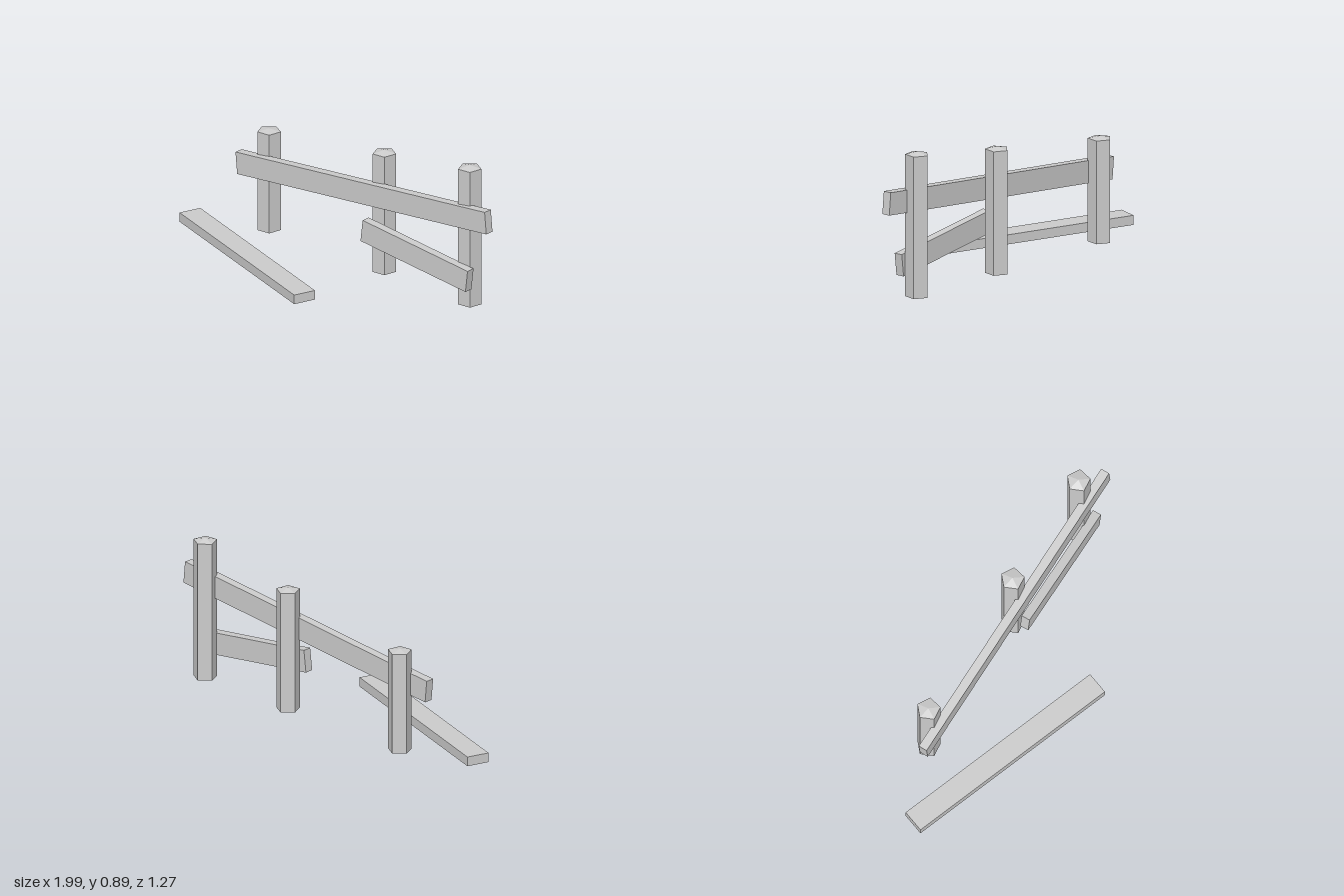
import * as THREE from 'three';

const material = new THREE.MeshStandardMaterial({ color: 0xcccccc, flatShading: true });
const rad = THREE.MathUtils.degToRad;

// Five-sided post with a shallow pointed cap
function makePost(name, x, z, bottom, shoulder, apex) {
  const post = new THREE.Group();
  post.name = name;
  const r = 0.072, turn = rad(7.5);

  const shaftHeight = shoulder - bottom;
  const shaft = new THREE.Mesh(
    new THREE.CylinderGeometry(r, r, shaftHeight, 5, 1, true, turn), material);
  shaft.name = 'shaft';
  shaft.position.y = bottom + shaftHeight / 2;

  const cap = new THREE.Mesh(
    new THREE.ConeGeometry(r, apex - shoulder, 5, 1, true, turn), material);
  cap.name = 'pointedCap';
  cap.position.y = (shoulder + apex) / 2;

  const foot = new THREE.Mesh(new THREE.CircleGeometry(r, 5, turn - Math.PI / 2), material);
  foot.name = 'foot';
  foot.rotation.x = Math.PI / 2;
  // the disc is turned so its corners meet the shaft's corners
  foot.geometry.rotateZ(Math.PI - 2 * turn);
  foot.position.y = bottom;

  post.add(shaft, cap, foot);
  post.position.set(x, 0, z);
  return post;
}

// Straight board: heading runs from +x towards +z, pitch raises its +x end
function makeBoard(name, size, position, heading, pitch = 0) {
  const board = new THREE.Mesh(new THREE.BoxGeometry(...size), material);
  board.name = name;
  board.position.set(...position);
  board.rotation.set(0, rad(-heading), rad(pitch), 'YZX');
  return board;
}

export function createModel() {
  const fence = new THREE.Group();
  fence.name = 'brokenFence';

  // Posts, rising towards the model's left
  fence.add(
    makePost('shortPost', -0.464, -0.485, 0.015, 0.642, 0.655),
    makePost('middlePost', 0.282, 0.035, 0.015, 0.768, 0.784),
    makePost('tallPost', 0.838, 0.442, 0.015, 0.878, 0.895));

  // Rails nailed to the front of the posts
  fence.add(
    makeBoard('upperRail', [1.98, 0.137, 0.054], [0.163, 0.513, 0.043], 35, 5.6),
    makeBoard('lowerRail', [0.814, 0.137, 0.054], [0.512, 0.253, 0.326], 33.3, -6.8));

  // Loose plank lying on the ground
  fence.add(makeBoard('fallenPlank', [1.38, 0.058, 0.139], [-0.536, 0.029, -0.038], 53.6));

  return fence;
}
